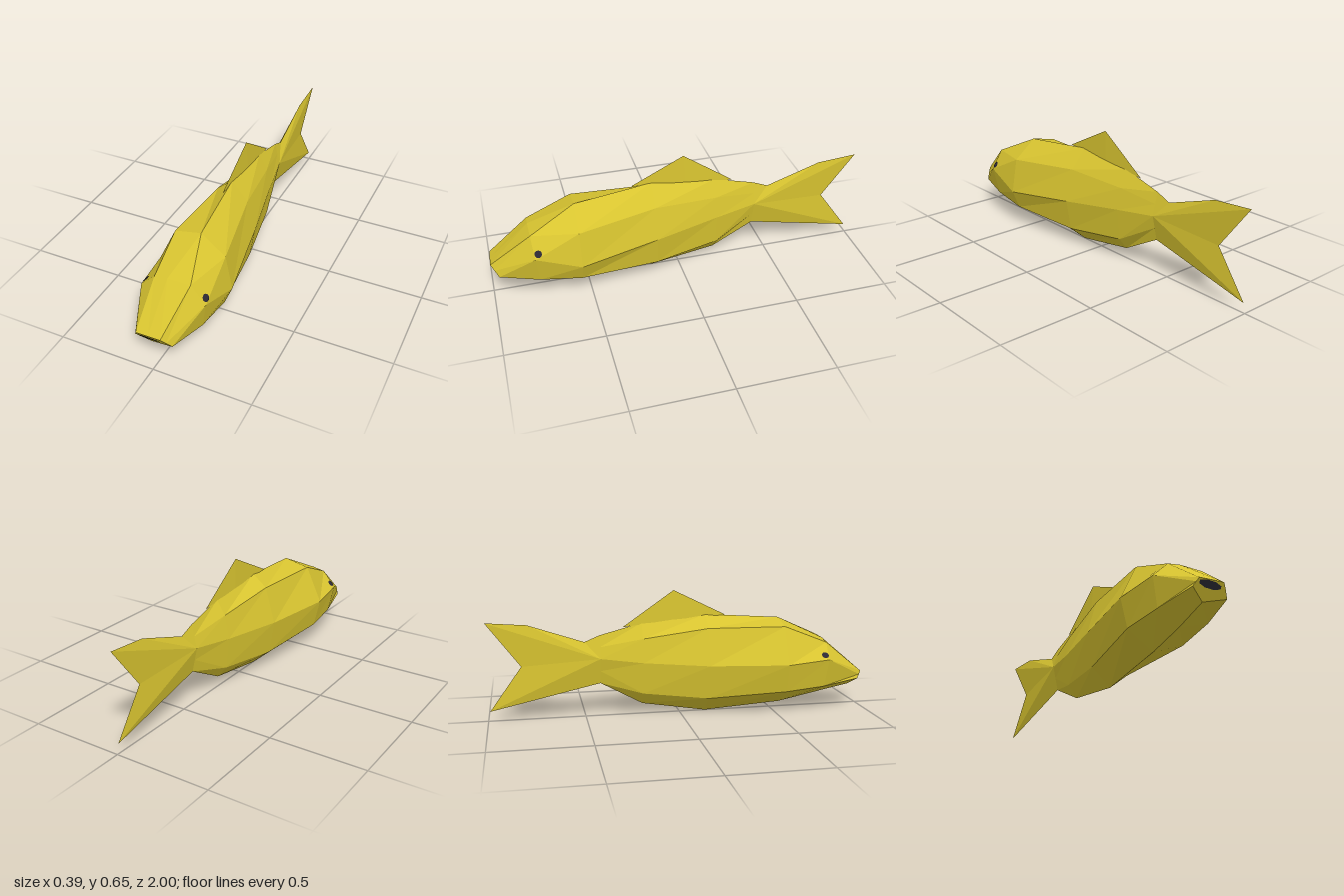
import * as THREE from 'three';

const skin = new THREE.MeshStandardMaterial({ color: 0xd8c430, side: THREE.DoubleSide });
skin.name = 'yellowSkin';
const dark = new THREE.MeshStandardMaterial({ color: 0x2b2833, side: THREE.DoubleSide });
dark.name = 'darkMarking';

// Faceted mesh from a flat list of triangle corners
function facets(name, corners) {
  const geometry = new THREE.BufferGeometry().setFromPoints(corners);
  geometry.computeVertexNormals();
  const mesh = new THREE.Mesh(geometry, skin);
  mesh.name = name;
  return mesh;
}

// One cross-section: [x, y] pairs clockwise from the top, seen from the front.
// slope leans the section forwards towards its top.
const section = (z, pts, slope = 0, y0 = 0) =>
  pts.map(([x, y]) => new THREE.Vector3(x, y, z + (y - y0) * slope));

const NOSE_SLOPE = 0.65;

export function createModel() {
  const fish = new THREE.Group();
  fish.name = 'fish';

  // Body: slightly irregular rings from nose to tail root
  const rings = [
    section(0.94, [[-0.015, 0.202], [0.05, 0.206], [0.07, 0.18], [0.09, 0.15],
      [-0.03, 0.115], [-0.1, 0.16], [-0.09, 0.18], [-0.08, 0.197]], NOSE_SLOPE, 0.115),
    section(0.78, [[-0.02, 0.378], [0.1, 0.38], [0.17, 0.28], [0.14, 0.13],
      [-0.02, 0.075], [-0.14, 0.135], [-0.17, 0.285], [-0.09, 0.365]], 0.1, 0.3),
    section(0.55, [[0.035, 0.49], [0.16, 0.39], [0.193, 0.205], [0.152, 0.105],
      [-0.02, 0.033], [-0.16, 0.12], [-0.195, 0.27], [-0.105, 0.46]]),
    section(0.14, [[0, 0.523], [0.085, 0.42], [0.128, 0.25], [0.1, 0.085],
      [0, 0], [-0.105, 0.09], [-0.135, 0.27], [-0.08, 0.46]]),
    section(-0.2, [[0, 0.488], [0.045, 0.4], [0.066, 0.287], [0.05, 0.12],
      [0, 0.055], [-0.052, 0.12], [-0.07, 0.287], [-0.045, 0.41]]),
    section(-0.42, [[0, 0.43], [0.015, 0.37], [0.03, 0.31], [0.015, 0.2425],
      [0, 0.175], [-0.015, 0.2425], [-0.03, 0.31], [-0.015, 0.37]]),
  ];
  const skinTriangles = [];
  const n = rings[0].length;
  for (let k = 0; k < n; k++) {
    const next = (k + 1) % n;
    // blunt nose cap
    if (k > 0 && next > 0) skinTriangles.push(rings[0][0], rings[0][next], rings[0][k]);
    for (let i = 0; i < rings.length - 1; i++) {
      const a = rings[i][k], b = rings[i][next];
      const c = rings[i + 1][k], d = rings[i + 1][next];
      skinTriangles.push(a, b, c, b, d, c);
    }
  }
  const body = facets('body', skinTriangles);
  fish.add(body);

  // Forked tail: two mirrored fans meeting in a sharp edge
  const outline = [[-0.42, 0.43], [-0.5, 0.397], [-0.79, 0.495], [-1, 0.512],
    [-0.825, 0.28], [-0.99, 0.05], [-0.42, 0.175]].map(([z, y]) => new THREE.Vector3(0, y, z));
  const tailTriangles = [];
  for (const side of [1, -1]) {
    const root = new THREE.Vector3(0.03 * side, 0.31, -0.42);
    for (let i = 0; i < outline.length - 1; i++) {
      const a = outline[i], b = outline[i + 1];
      tailTriangles.push(root, ...(side > 0 ? [b, a] : [a, b]));
    }
  }
  fish.add(facets('tailFin', tailTriangles));

  // Dorsal fin: thin wedge with a sharp top
  const tip = new THREE.Vector3(0, 0.655, -0.03);
  const front = new THREE.Vector3(0, 0.517, 0.25);
  const back = new THREE.Vector3(0, 0.468, -0.3);
  const finTriangles = [];
  for (const side of [1, -1]) {
    const base = new THREE.Vector3(0.006 * side, 0.5, -0.04);
    finTriangles.push(...(side > 0
      ? [front, base, tip, base, back, tip]
      : [front, tip, base, base, tip, back]));
  }
  fish.add(facets('dorsalFin', finTriangles));

  // Eyes: flat discs laid on the cheeks
  for (const side of [1, -1]) {
    const ray = new THREE.Raycaster(
      new THREE.Vector3(side, 0.305, 0.76), new THREE.Vector3(-side, 0, 0));
    const hit = ray.intersectObject(body)[0];
    const normal = hit.face.normal.clone();
    if (normal.x * side < 0) normal.negate();
    const eye = new THREE.Mesh(new THREE.CircleGeometry(0.019, 12), dark);
    eye.name = side > 0 ? 'leftEye' : 'rightEye';
    eye.position.copy(hit.point).addScaledVector(normal, 0.004);
    eye.quaternion.setFromUnitVectors(new THREE.Vector3(0, 0, 1), normal);
    fish.add(eye);
  }

  // Mouth: a flat strip on the sloping nose
  const mouthShape = new THREE.CircleGeometry(1, 8).rotateZ(Math.PI / 8).scale(0.062, 0.019, 1);
  const mouth = new THREE.Mesh(mouthShape, dark);
  mouth.name = 'mouth';
  mouth.rotation.x = Math.atan(NOSE_SLOPE);
  mouth.position.set(-0.018, 0.181, 0.94 + (0.181 - 0.115) * NOSE_SLOPE + 0.004);
  fish.add(mouth);

  return fish;
}
